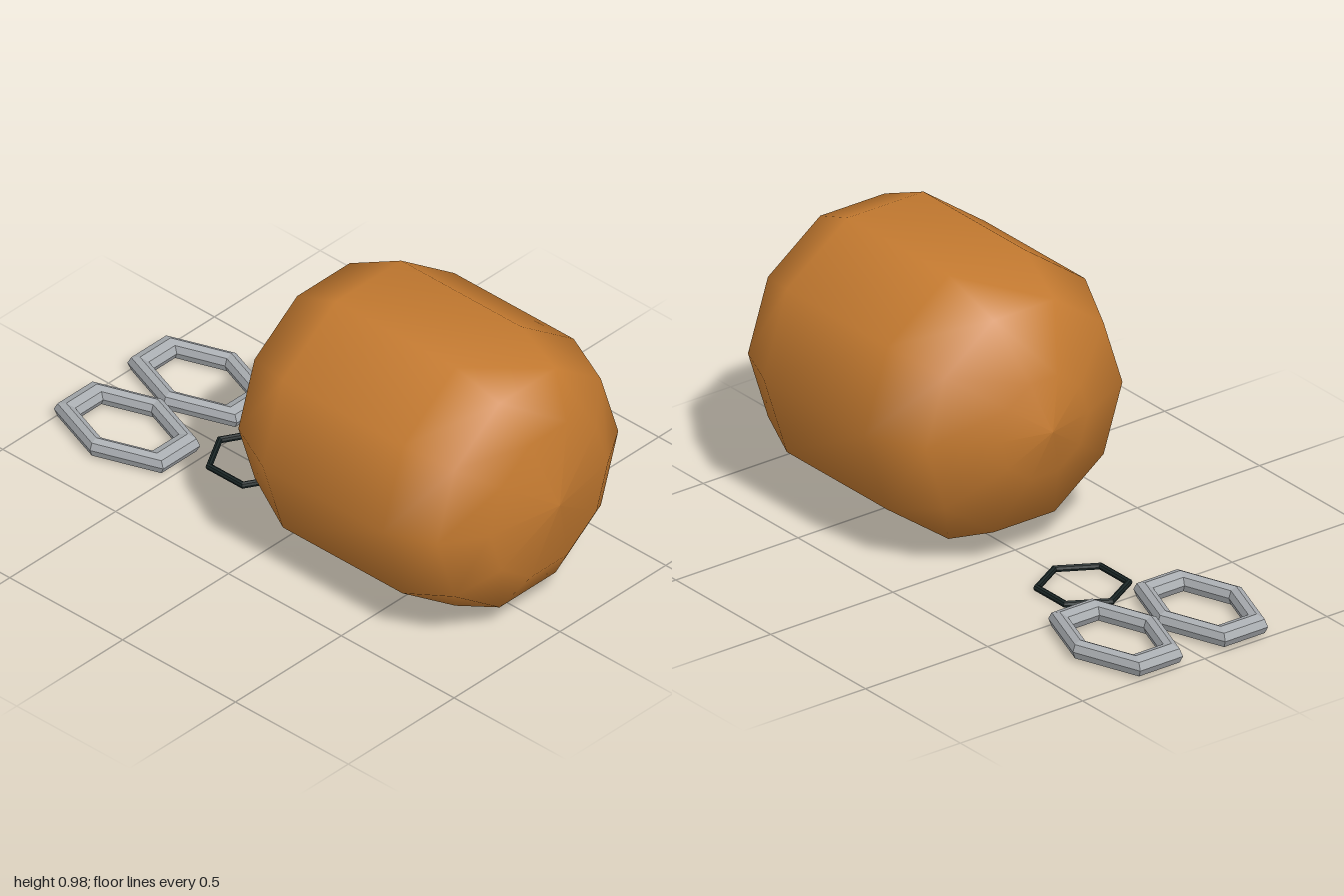
import * as THREE from 'three';

const orange = new THREE.MeshStandardMaterial({ color: 0xc47a30 });
orange.name = 'orange';
const grey = new THREE.MeshStandardMaterial({ color: 0xa9adb1 });
grey.name = 'grey';
const black = new THREE.MeshStandardMaterial({ color: 0x1a2626 });
black.name = 'black';

// Faceted six-sided ring lying flat; turn spins it, stretch scales x and y (height)
function hexRing(name, radius, tube, material, turn, stretchX, stretchY) {
  const geometry = new THREE.TorusGeometry(radius, tube, 8, 6).toNonIndexed();
  geometry.rotateX(-Math.PI / 2).rotateY(turn).scale(stretchX, stretchY, 1);
  geometry.computeVertexNormals();
  const mesh = new THREE.Mesh(geometry, material);
  mesh.name = name;
  return mesh;
}

export function createModel() {
  const model = new THREE.Group();
  model.name = 'roundedBodyWithRings';

  // Ten-sided rounded body, turned about the x axis: [radius, x]
  const profile = [
    [0, -0.2], [0.18, -0.155], [0.402, -0.048], [0.5, 0.152],
    [0.5, 0.682], [0.428, 0.857], [0.278, 0.952], [0, 1],
  ].map(([r, x]) => new THREE.Vector2(r, x));
  const body = new THREE.Mesh(new THREE.LatheGeometry(profile, 10), orange);
  body.name = 'body';
  body.rotation.z = -Math.PI / 2;
  body.position.y = 0.503;
  model.add(body);

  // Pair of thick grey rings, corner to corner
  for (const side of [-1, 1]) {
    const ring = hexRing(side < 0 ? 'backRing' : 'frontRing', 0.145, 0.03, grey, Math.PI / 6, 1.6, 1.17);
    ring.position.set(-0.757, 0.035, side * 0.174 - 0.002);
    model.add(ring);
  }

  // Thin black ring between the grey rings and the body
  const link = hexRing('thinRing', 0.15, 0.012, black, 0, 1, 1);
  link.position.set(-0.36, 0.015, -0.002);
  model.add(link);

  return model;
}
